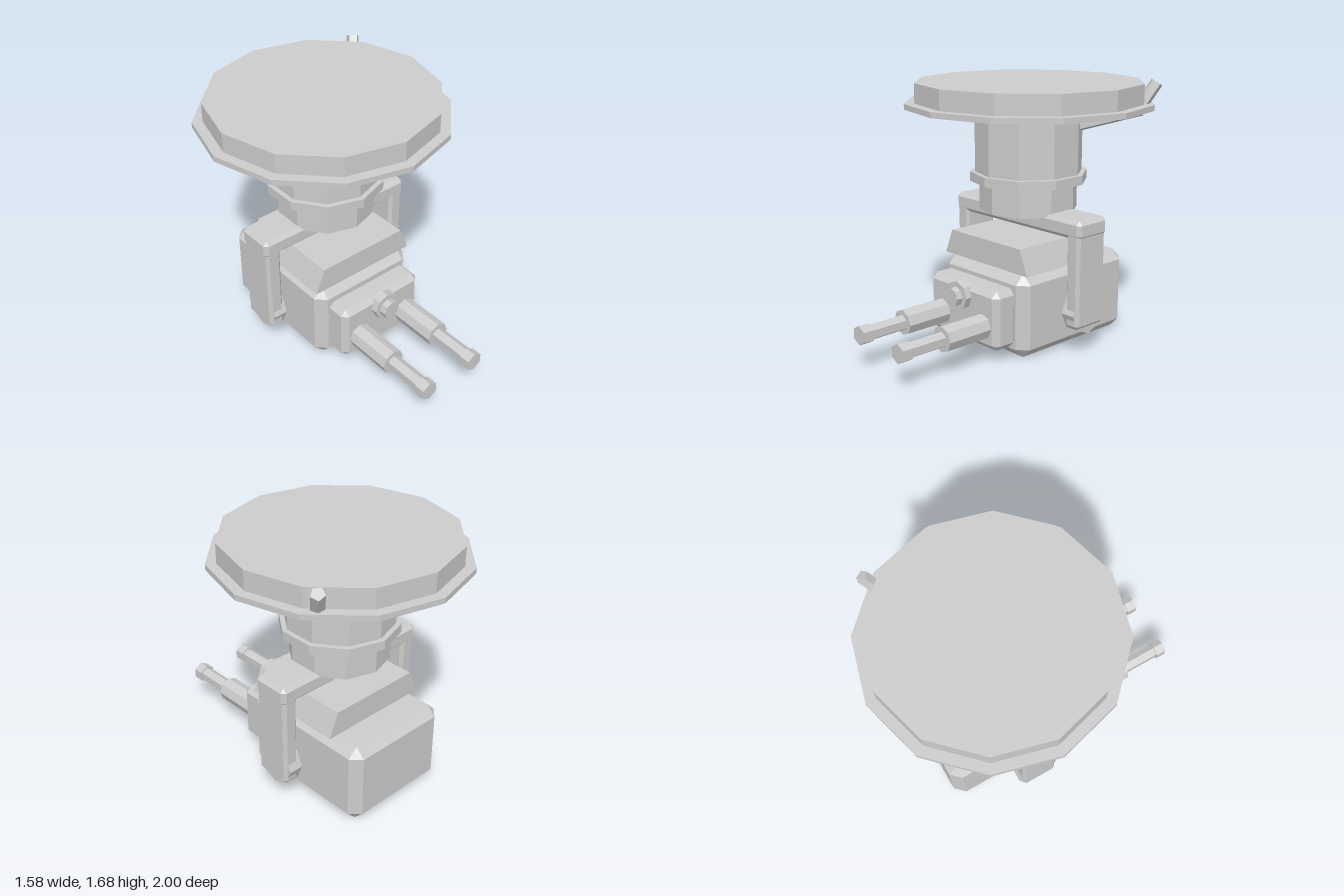
import * as THREE from 'three';
import { ConvexGeometry } from 'three/addons/geometries/ConvexGeometry.js';

const CZ = -0.21; // z of the vertical mounting axis
const material = new THREE.MeshStandardMaterial({ color: 0xcccccc, flatShading: true });

export function createModel() {
  const model = new THREE.Group();
  model.name = 'ceilingTurret';

  const add = (name, geometry, parent = model) => {
    const mesh = new THREE.Mesh(geometry, material);
    mesh.name = name;
    parent.add(mesh);
    return mesh;
  };

  // Box with every edge cut by bevel b, given by its limits
  const chamferBox = (x0, x1, y0, y1, z0, z1, b) => {
    const half = [(x1 - x0) / 2, (y1 - y0) / 2, (z1 - z0) / 2];
    const points = [];
    for (const sx of [-1, 1]) for (const sy of [-1, 1]) for (const sz of [-1, 1])
      for (let flush = 0; flush < 3; flush++) {
        const c = [sx, sy, sz].map((s, i) => s * (half[i] - (i === flush ? 0 : b)));
        points.push(new THREE.Vector3(...c));
      }
    return new ConvexGeometry(points).translate((x0 + x1) / 2, (y0 + y1) / 2, (z0 + z1) / 2);
  };

  // Prisms along y (on the mounting axis) and along z
  const prismY = (r, y0, y1, sides) =>
    new THREE.CylinderGeometry(r, r, y1 - y0, sides).translate(0, (y0 + y1) / 2, CZ);
  const prismZ = (r, x, y, z0, z1, sides) =>
    new THREE.CylinderGeometry(r, r, z1 - z0, sides).rotateX(Math.PI / 2).translate(x, y, (z0 + z1) / 2);

  // Ceiling disc and neck
  add('discRim', prismY(0.79, 1.5, 1.535, 12));
  add('discTop', prismY(0.725, 1.535, 1.66, 12));
  add('neckUpper', prismY(0.345, 1.09, 1.5, 10));
  add('neckCollar', prismY(0.378, 1.03, 1.09, 10));
  add('neckLower', prismY(0.316, 0.845, 1.03, 10));

  // Bent cable: five-sided rods from the neck out through the disc edge
  const rod = (name, a, b, r) => {
    const from = new THREE.Vector3(...a), to = new THREE.Vector3(...b);
    const dir = to.clone().sub(from);
    const mesh = add(name, new THREE.CylinderGeometry(r, r, dir.length(), 5));
    mesh.position.copy(from).add(to).multiplyScalar(0.5);
    mesh.quaternion.setFromUnitVectors(new THREE.Vector3(0, 1, 0), dir.normalize());
  };
  rod('cableLower', [0.25, 1.39, -0.385], [0.575, 1.5, -0.615], 0.045);
  rod('cableUpper', [0.555, 1.49, -0.6], [0.63, 1.665, -0.685], 0.042);

  // Fork holding the body
  add('forkBar', chamferBox(-0.57, 0.57, 0.75, 0.87, -0.333, -0.08, 0.025));
  for (const [side, s] of [['left', 1], ['right', -1]]) {
    const cx = s * 0.508;
    add(side + 'ForkArm', chamferBox(cx - 0.053, cx + 0.053, 0.18, 0.8, -0.33, -0.083, 0.02));
    add(side + 'Pivot', new THREE.CylinderGeometry(0.14, 0.14, 0.096, 8)
      .rotateZ(Math.PI / 2).translate(s * 0.492, 0.27, CZ));
  }

  // Body, sloped hood and front plate
  add('body', chamferBox(-0.378, 0.378, 0, 0.54, -0.745, 0.2, 0.063));
  const hood = new THREE.Shape([[-0.38, 0.54], [0.38, 0.54], [0.315, 0.7], [-0.315, 0.7]]
    .map(([x, y]) => new THREE.Vector2(x, y)));
  add('hood', new THREE.ExtrudeGeometry(hood, { depth: 0.695, bevelEnabled: false }).translate(0, 0, -0.525));
  add('frontPlate', chamferBox(-0.315, 0.315, 0.083, 0.46, 0.18, 0.363, 0.037));

  // Twin barrels
  for (const [side, s] of [['left', 1], ['right', -1]]) {
    const barrel = new THREE.Group();
    barrel.name = side + 'Barrel';
    model.add(barrel);
    add('barrelSleeve', prismZ(0.081, s * 0.19, 0.227, 0.34, 0.68, 8), barrel);
    add('barrelTube', prismZ(0.05, s * 0.19, 0.227, 0.66, 0.95, 6), barrel);
    add('barrelMuzzle', prismZ(0.062, s * 0.19, 0.227, 0.93, 1, 6), barrel);
  }

  // Sensor above the barrels
  add('sensorBase', prismZ(0.093, 0, 0.385, 0.345, 0.405, 8));
  add('sensorLens', prismZ(0.061, 0, 0.383, 0.4, 0.45, 8));

  return model;
}
